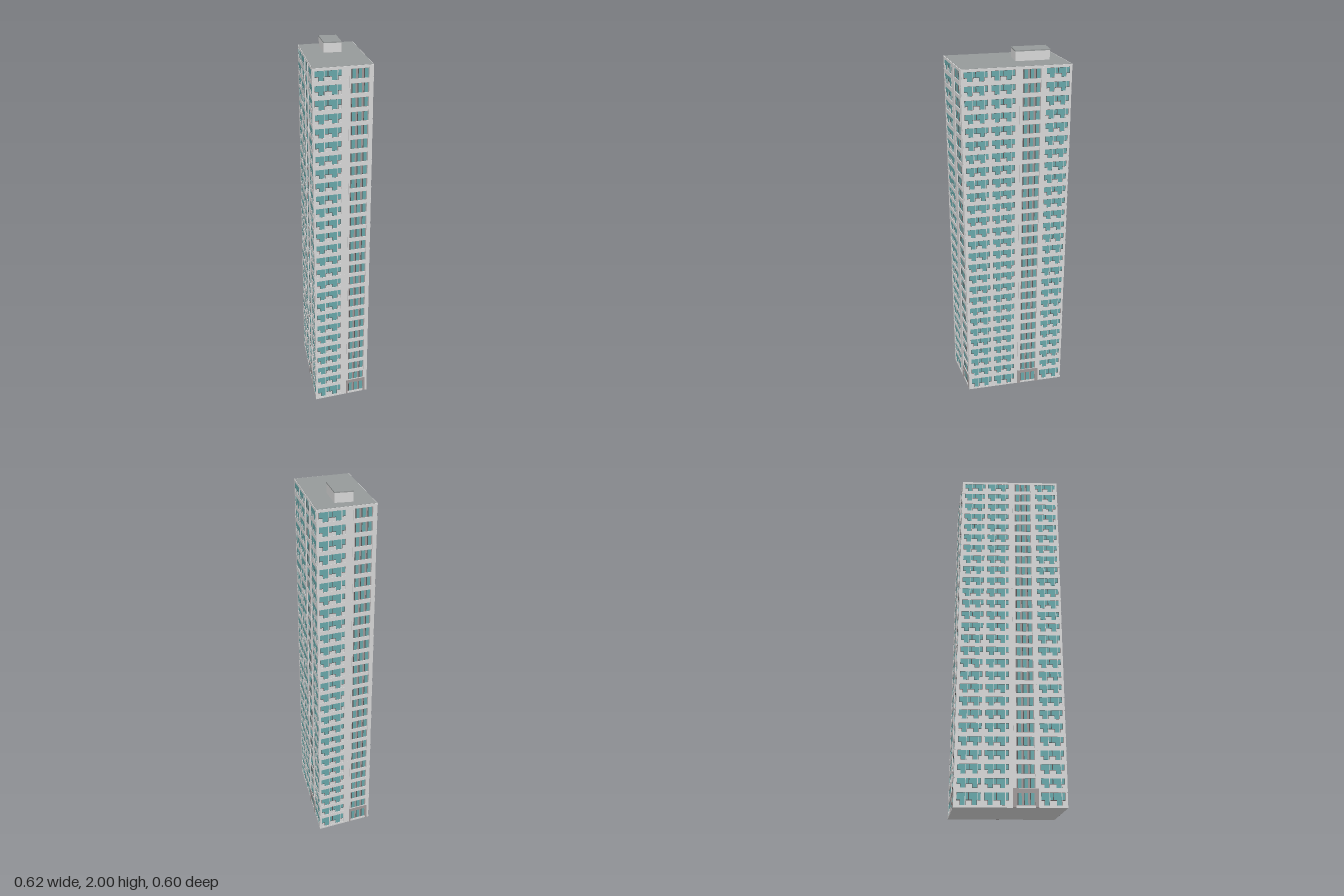
import * as THREE from 'three';
import { mergeGeometries } from 'three/addons/utils/BufferGeometryUtils.js';

const material = (name, color) => {
  const m = new THREE.MeshStandardMaterial({ color });
  m.name = name;
  return m;
};

// Skewed tower plan as [x, z], counter-clockwise seen from above
const PLAN = [[-0.311, 0.138], [-0.045, 0.3], [0.311, -0.138], [0.045, -0.3]];
const PENTHOUSE = [[-0.017, -0.055], [0.058, 0.003], [0.173, -0.137], [0.099, -0.197]];
const FLOORS = 27, GROUND = 0.09, STEP = 0.0714, TOP = 1.946;
const CORE = 0.986;

// Upright prism over a plan, scaled about the plan's own middle
function prism(plan, y0, y1, scale = 1) {
  const cx = plan.reduce((s, p) => s + p[0], 0) / plan.length;
  const cz = plan.reduce((s, p) => s + p[1], 0) / plan.length;
  const shape = new THREE.Shape(plan.map(([x, z]) =>
    new THREE.Vector2(cx + (x - cx) * scale, -(cz + (z - cz) * scale))));
  return new THREE.ExtrudeGeometry(shape, { depth: y1 - y0, bevelEnabled: false })
    .rotateX(-Math.PI / 2).translate(0, y0, 0);
}

// Bays as fractions of the facade width; relief is how far the piers stand out
const SHORT = {
  wide: [[0.03, 0.475]], slim: [[0.62, 0.93]],
  piers: [[0, 0.03], [0.475, 0.62], [0.93, 1]], relief: 0.0038,
};
const LONG = {
  wide: [[0.02, 0.235], [0.265, 0.485], [0.77, 0.985]], slim: [[0.55, 0.72]],
  piers: [[0, 0.02], [0.235, 0.265], [0.485, 0.55], [0.72, 0.77], [0.985, 1]], relief: 0.002,
};

export function createModel() {
  const tower = new THREE.Group();
  tower.name = 'tower';
  const wall = material('pale concrete', 0xd8d8d8);
  const roofGrey = material('roof grey', 0x969a9a);
  const glass = material('teal glass', 0x68a8aa);
  const dark = material('dark frame', 0x5c5656);
  const panel = material('warm grey panel', 0xa09a9a);

  const add = (parent, name, geometry, mat) => {
    const mesh = new THREE.Mesh(geometry, mat);
    mesh.name = name;
    parent.add(mesh);
  };

  // Main body, floor bands, roof
  add(tower, 'body', prism(PLAN, 0, TOP - 0.006, CORE), wall);
  const bands = [prism(PLAN, 0, 0.012)];
  for (let f = 1; f <= FLOORS; f++) {
    const y = GROUND + (f - 1) * STEP;
    bands.push(prism(PLAN, y - 0.015, f === FLOORS ? TOP - 0.001 : y + 0.007));
  }
  add(tower, 'floorBands', mergeGeometries(bands), wall);
  add(tower, 'roof', prism(PLAN, TOP - 0.002, TOP, 0.985), roofGrey);

  // Roof penthouse with a thin cap
  add(tower, 'penthouse', prism(PENTHOUSE, TOP, 1.994, 0.98), wall);
  add(tower, 'penthouseRoof', prism(PENTHOUSE, 1.994, 2), roofGrey);

  // Facades: local x runs along the wall, local z points outward
  PLAN.forEach((p, side) => {
    const q = PLAN[(side + 1) % 4];
    const dx = (q[0] - p[0]) * CORE, dz = (q[1] - p[1]) * CORE;
    const width = Math.hypot(dx, dz);
    const layout = side % 2 ? LONG : SHORT;
    const facade = new THREE.Group();
    facade.name = side % 2 ? 'longFacade' : 'shortFacade';
    facade.position.set(p[0] * CORE, 0, p[1] * CORE);
    facade.rotation.y = Math.atan2(-dz, dx);
    tower.add(facade);

    const parts = { glass: [], dark: [], panel: [], wall: [] };
    const plate = (kind, x0, x1, y0, y1, depth) => {
      const d = depth + 0.001;
      parts[kind].push(new THREE.BoxGeometry((x1 - x0) * width, y1 - y0, d)
        .translate((x0 + x1) / 2 * width, (y0 + y1) / 2, d / 2 - 0.001));
    };

    for (let f = 0; f < FLOORS; f++) {
      const y = f ? GROUND + (f - 1) * STEP + 0.007 : 0.012;
      const h = f ? 0.049 : 0.063;
      // Wide bays: pairs of strip windows over a door pane and parapet panels
      for (const [a, b] of layout.wide) {
        plate('dark', a, b, y, y + h, 0.0004);
        const half = (b - a) / 2;
        for (let i = 0; i < 2; i++) {
          const at = (t) => a + half * (i + t);
          plate('glass', at(0.03), at(0.97), y + h * 0.42, y + h * 0.98, 0.001);
          plate('glass', at(0.3), at(0.68), y + h * 0.02, y + h * 0.42, 0.001);
          plate('wall', at(0), at(0.27), y, y + h * 0.36, 0.0016);
          plate('wall', at(0.76), at(1), y, y + h * 0.36, 0.0016);
          plate('wall', at(0.69), at(0.74), y, y + h, 0.0016);
        }
      }
      // Slim bays: three upright windows between warm grey panels
      for (const [a, b] of layout.slim) {
        plate('panel', a, b, y, y + h, 0.0004);
        const third = (b - a) / 3;
        for (let i = 0; i < 3; i++) {
          const at = (t) => a + third * (i + t);
          plate('dark', at(0.16), at(0.3), y + h * 0.03, y + h * 0.97, 0.001);
          plate('glass', at(0.3), at(0.84), y + h * 0.03, y + h * 0.97, 0.001);
        }
      }
    }
    // Full-height piers, with slender pilasters framing the slim bays
    for (const [a, b] of layout.piers) plate('wall', a, b, 0, TOP - 0.006, layout.relief);
    for (const [a, b] of layout.slim) {
      plate('wall', a - 0.025, a, GROUND, TOP - 0.01, 0.0055);
      plate('wall', b, b + 0.025, GROUND, TOP - 0.01, 0.0055);
      // Grey entrance surround at street level
      plate('panel', a - 0.03, b + 0.03, GROUND - 0.015, GROUND + 0.005, 0.0058);
      plate('panel', a - 0.03, a, 0, GROUND - 0.015, 0.0058);
      plate('panel', b, b + 0.03, 0, GROUND - 0.015, 0.0058);
    }

    add(facade, 'windows', mergeGeometries(parts.glass), glass);
    add(facade, 'windowFrames', mergeGeometries(parts.dark), dark);
    add(facade, 'infillPanels', mergeGeometries(parts.panel), panel);
    add(facade, 'piersAndParapets', mergeGeometries(parts.wall), wall);
  });
  return tower;
}
